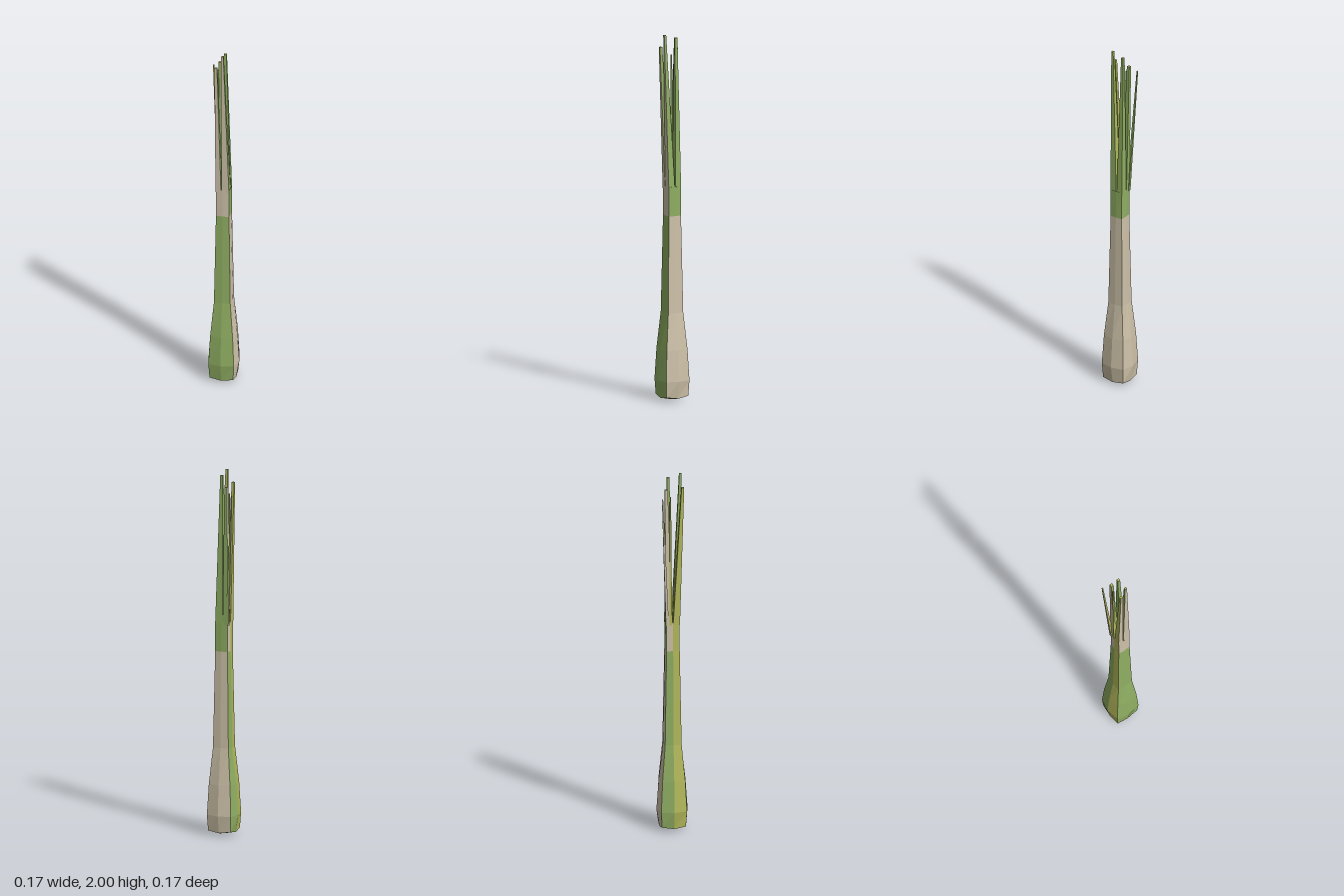
import * as THREE from 'three';

const materials = [['cream', 0xcdc1a8], ['leafGreen', 0x8fae62], ['yellowGreen', 0xb3b85a]].map(([name, color]) => {
  const m = new THREE.MeshStandardMaterial({ color });
  m.name = name;
  return m;
});
const C = 0, G = 1, Y = 2;

// Flat-faced skin through rings of points; colours(level, side) picks the material.
function skin(name, rings, colours, capTop, capBottom) {
  const faces = [[], [], []];
  const n = rings[0].length;
  const mid = (ring) => ring.reduce((s, p) => s.map((v, k) => v + p[k] / n), [0, 0, 0]);
  for (let r = 0; r < rings.length - 1; r++) {
    for (let i = 0; i < n; i++) {
      const j = (i + 1) % n;
      const a = rings[r][i], b = rings[r][j], c = rings[r + 1][j], d = rings[r + 1][i];
      faces[colours(r, i)].push(...a, ...b, ...c, ...a, ...c, ...d);
    }
  }
  const top = rings[rings.length - 1], bottom = rings[0];
  for (let i = 0; i < n; i++) {
    const j = (i + 1) % n;
    if (capTop !== undefined) faces[capTop].push(...top[i], ...top[j], ...mid(top));
    if (capBottom !== undefined) faces[capBottom].push(...bottom[j], ...bottom[i], 0, 0, 0);
  }
  const geo = new THREE.BufferGeometry();
  geo.setAttribute('position', new THREE.Float32BufferAttribute(faces.flat(), 3));
  let start = 0;
  faces.forEach((f, m) => {
    if (f.length) geo.addGroup(start, f.length / 3, m);
    start += f.length / 3;
  });
  geo.computeVertexNormals();
  const mesh = new THREE.Mesh(geo, materials);
  mesh.name = name;
  return mesh;
}

// Bulging square: c is the corner offset, m the middle of each side.
function stalkRing([y, c, m, yMid = y]) {
  return [[0, yMid, m], [c, y, c], [m, yMid, 0], [c, y, -c],
    [0, yMid, -m], [-c, y, -c], [-m, yMid, 0], [-c, y, c]];
}

// Rectangle running front-left, front-right, back-right, back-left.
const rect = (y, x0, x1, z0, z1) => [[x0, y, z1], [x1, y, z1], [x1, y, z0], [x0, y, z0]];

export function createModel() {
  const group = new THREE.Group();
  group.name = 'leek';

  // Stalk with swollen base; the colours swap at the fourth ring.
  const profile = [
    [0.024, 0.065, 0.069, 0.014], [0.11, 0.07, 0.085], [0.28, 0.062, 0.073],
    [0.48, 0.045, 0.049], [1.01, 0.036, 0.039], [1.17, 0.036, 0.038],
  ];
  const lower = [G, C, C, C, C, G, Y, G];
  const upper = [C, G, G, G, G, C, Y, C];
  group.add(skin('stalk', profile.map(stalkRing), (r, i) => (r < 4 ? lower : upper)[i], G, Y));

  // Leaves: base rectangle, tip [x, y, z], tip half size, colours of front, right, back, left.
  const leaves = [
    ['frontRightLeaf', [-0.006, 0.036, 0, 0.037], [0.002, 2.0, 0.045], 0.006, [C, G, Y, G]],
    ['frontLeftLeaf', [-0.038, -0.008, 0, 0.037], [-0.032, 1.93, 0.053], 0.007, [C, G, Y, Y]],
    ['backRightLeaf', [-0.006, 0.036, -0.037, -0.003], [0.003, 1.98, -0.021], 0.007, [G, G, G, G]],
    ['backLeftLeaf', [-0.037, -0.008, -0.037, -0.003], [-0.03, 1.92, -0.038], 0.008, [G, G, G, C]],
    ['outerThinLeaf', [-0.042, -0.026, -0.04, -0.024], [-0.072, 1.88, -0.064], 0.003, [Y, G, G, C]],
    ['innerThinLeaf', [-0.038, -0.024, -0.02, -0.006], [-0.037, 1.88, -0.015], 0.003, [Y, G, G, Y]],
  ];
  for (const [name, base, [x, y, z], h, colours] of leaves) {
    const rings = [rect(1.155, ...base), rect(y, x - h, x + h, z - h, z + h)];
    group.add(skin(name, rings, (r, i) => colours[i], Y));
  }
  return group;
}
